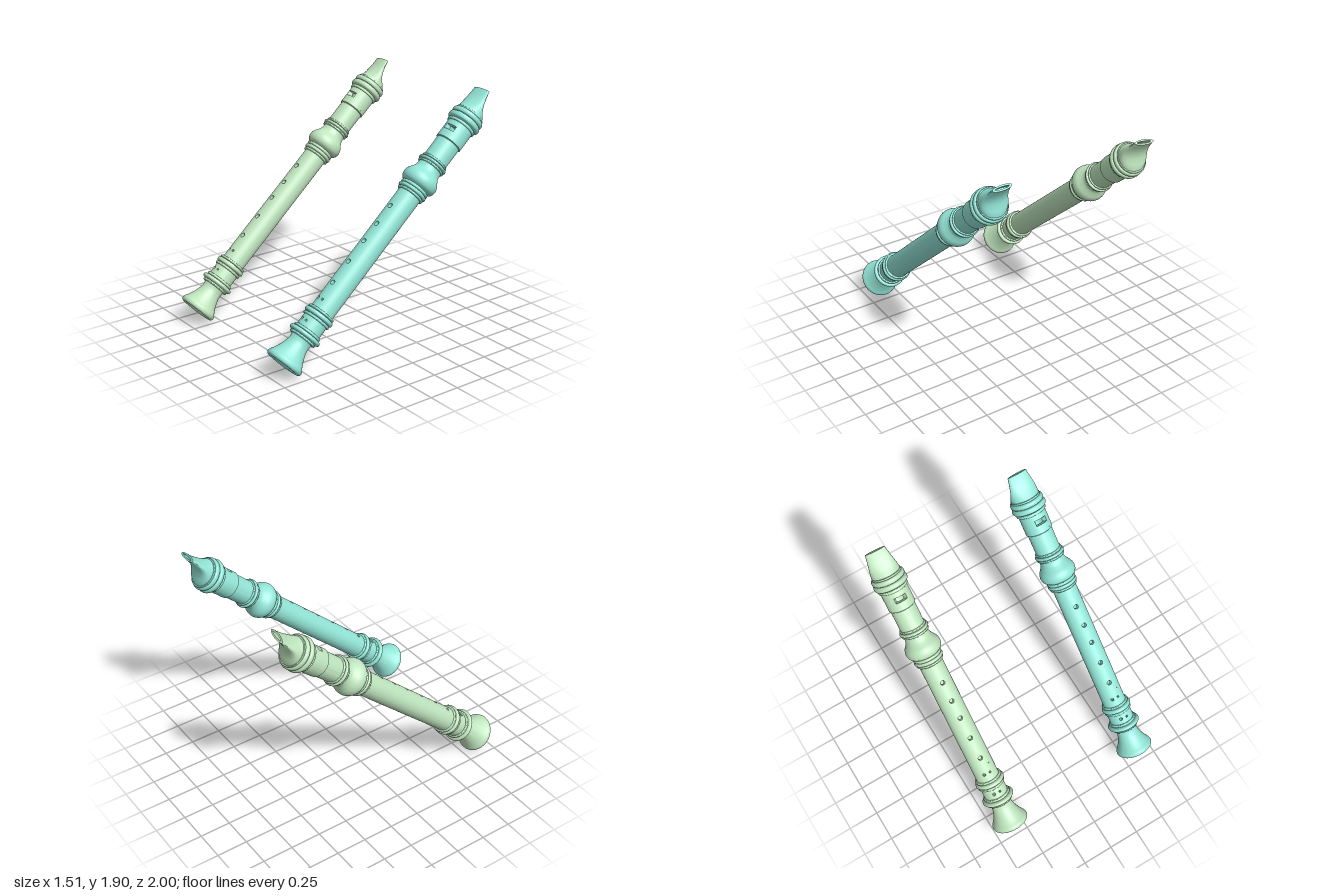
import * as THREE from 'three';
import { toCreasedNormals } from 'three/addons/utils/BufferGeometryUtils.js';

const BORE = 0.066;   // inner radius
const STRIP = 0.55;   // half angle of the front strip that carries the holes

// surface from a rule f(i, j) -> [x, y, z]
function grid(nu, nv, f) {
  const pos = [], idx = [];
  for (let j = 0; j <= nv; j++) for (let i = 0; i <= nu; i++) pos.push(...f(i, j));
  for (let j = 0; j < nv; j++) for (let i = 0; i < nu; i++) {
    const a = j * (nu + 1) + i, b = a + 1, d = a + nu + 1, c = d + 1;
    idx.push(a, b, c, a, c, d);
  }
  const g = new THREE.BufferGeometry();
  g.setAttribute('position', new THREE.Float32BufferAttribute(pos, 3));
  g.setIndex(idx);
  return g;
}

// profile helpers, all as [radius, height]
const bead = (y, r, h, base) => Array.from({ length: 9 }, (_, k) => {
  const a = Math.PI * k / 8;
  return [base + (r - base) * Math.pow(Math.max(0, Math.sin(a)), 0.6), y - h * Math.cos(a)];
});
const smooth = (pts, n) => new THREE.SplineCurve(pts.map(p => new THREE.Vector2(...p)))
  .getPoints(n).map(p => [p.x, p.y]);

function createRecorder(color, headRoll) {
  const mat = new THREE.MeshStandardMaterial({ color });
  const recorder = new THREE.Group();

  const add = (parent, name, geo, crease = 0.7) => {
    const m = new THREE.Mesh(toCreasedNormals(geo, crease), mat);
    m.name = name;
    parent.add(m);
  };
  const turned = (parent, name, pts, start = 0, length = Math.PI * 2) =>
    add(parent, name, new THREE.LatheGeometry(pts.map(p => new THREE.Vector2(...p)), 64, start, length));

  // curved patch of tube with one hole whose wall runs down to the bore
  const holedPatch = (parent, name, R, p0, p1, y0, y1, hole) => {
    const n = 40, rings = 5;
    add(parent, name, grid(n, rings + 1, (i, j) => {
      const t = (i % n) / n * Math.PI * 2, c = Math.cos(t), s = Math.sin(t);
      const m = Math.max(Math.abs(c), Math.abs(s)), q = hole.square ? m : 1;
      const k = Math.min(j / rings, 1);
      const outP = (p0 + p1) / 2 + c / m * (p1 - p0) / 2;
      const outY = (y0 + y1) / 2 + s / m * (y1 - y0) / 2;
      const p = outP + (hole.x / R + c / q * hole.w / R - outP) * k;
      const y = outY + (hole.y + s / q * hole.h - outY) * k;
      const r = j > rings ? BORE : R;
      return [r * Math.sin(p), y, r * Math.cos(p)];
    }));
  };

  // plain tube behind the front strip, strip filled with holed patches
  const holedTube = (parent, name, R, y0, y1, rows) => {
    turned(parent, name, [[R, y0], [R, y1]], STRIP, Math.PI * 2 - 2 * STRIP);
    rows.forEach((row, i) => {
      const a = i ? (rows[i - 1][0].y + row[0].y) / 2 : y0;
      const b = i < rows.length - 1 ? (row[0].y + rows[i + 1][0].y) / 2 : y1;
      row.forEach((hole, k) => {
        const w = 2 * STRIP / row.length;
        holedPatch(parent, name + 'Hole', R, -STRIP + k * w, -STRIP + (k + 1) * w, a, b, hole);
      });
    });
  };
  const round = (x, y, r) => ({ x, y, w: r, h: r });
  const pair = y => [round(-0.033, y, 0.013), round(0.021, y, 0.009)];

  // bore
  turned(recorder, 'bore', [[0, 2.22], [BORE, 2.22], [BORE, 0]]);

  // foot joint
  const foot = new THREE.Group();
  foot.name = 'footJoint';
  turned(foot, 'bell', [
    [BORE, 0], [0.078, -0.012],
    ...smooth([[0.1, -0.02], [0.135, -0.021], [0.151, -0.004], [0.148, 0.016], [0.13, 0.045],
      [0.108, 0.09], [0.091, 0.14], [0.085, 0.18], [0.09, 0.215]], 40),
    ...bead(0.222, 0.112, 0.01, 0.092), ...bead(0.25, 0.133, 0.018, 0.1),
    ...bead(0.28, 0.114, 0.011, 0.1), [0.1, 0.3]]);
  holedTube(foot, 'footTube', 0.1, 0.3, 0.375, [pair(0.336)]);
  turned(foot, 'footCollar', [[0.1, 0.375], ...bead(0.39, 0.114, 0.011, 0.1),
    ...bead(0.422, 0.122, 0.018, 0.102), ...bead(0.453, 0.112, 0.01, 0.097), [0.095, 0.47]]);
  recorder.add(foot);

  // middle joint
  const middle = new THREE.Group();
  middle.name = 'middleJoint';
  holedTube(middle, 'bodyTube', 0.095, 0.47, 1.57, [pair(0.531),
    ...[0.681, 0.878, 1.072, 1.235, 1.407].map(y => [round(0, y, 0.019)])]);
  recorder.add(middle);

  // head joint
  const head = new THREE.Group();
  head.name = 'headJoint';
  head.rotation.y = headRoll;
  turned(head, 'socketBulge', [[0.095, 1.57], ...bead(1.583, 0.112, 0.01, 0.096),
    ...bead(1.609, 0.12, 0.014, 0.104), ...bead(1.637, 0.118, 0.012, 0.106),
    ...smooth([[0.113, 1.652], [0.136, 1.672], [0.145, 1.705], [0.138, 1.74],
      [0.118, 1.772], [0.103, 1.8], [0.098, 1.835]], 32),
    ...bead(1.85, 0.112, 0.009, 0.1), ...bead(1.873, 0.119, 0.012, 0.1),
    ...bead(1.897, 0.109, 0.009, 0.098), [0.098, 1.915], [0.099, 2.078], [0.108, 2.084], [0.108, 2.1]]);
  holedTube(head, 'windowTube', 0.108, 2.1, 2.235,
    [[{ x: 0, y: 2.172, w: 0.05, h: 0.022, square: true }]]);
  turned(head, 'headCollar', [[0.108, 2.235], ...bead(2.25, 0.12, 0.012, 0.108),
    ...bead(2.29, 0.137, 0.022, 0.116), ...bead(2.336, 0.133, 0.02, 0.118),
    ...bead(2.364, 0.12, 0.008, 0.113), [0.1, 2.374]]);

  // beak: height, half width, front depth, back depth; last rows form the air slot
  const rows = [
    [2.365, 0.114, 0.112, -0.112], [2.385, 0.114, 0.104, -0.098], [2.405, 0.112, 0.095, -0.066],
    [2.43, 0.108, 0.086, -0.028], [2.46, 0.102, 0.079, -0.002], [2.495, 0.095, 0.073, 0.014],
    [2.535, 0.087, 0.071, 0.025], [2.578, 0.08, 0.074, 0.032],
    [2.578, 0.058, 0.061, 0.045], [2.53, 0.058, 0.061, 0.045], [2.53, 0, 0.053, 0.053]];
  const beak = new THREE.Group();
  beak.name = 'beak';
  beak.rotation.y = -0.13;
  add(beak, 'beakShell', grid(56, rows.length - 1, (i, j) => {
    const [y, w, f, b] = rows[j], a = (i % 56) / 56 * Math.PI * 2;
    return [w * Math.sin(a), y, (f + b) / 2 + (f - b) / 2 * Math.cos(a)];
  }), 0.9);
  head.add(beak);
  recorder.add(head);

  return recorder;
}

export function createModel() {
  const model = new THREE.Group();
  model.name = 'recorderPair';
  const specs = [['greenRecorder', 0xc0e6bf, -0.605, 0], ['tealRecorder', 0x94e6d8, 0.605, 0.15]];
  for (const [name, color, x, roll] of specs) {
    const r = createRecorder(color, roll);
    r.name = name;
    r.position.set(x, 0.115, 0.9);
    r.rotation.x = -48 * Math.PI / 180; // leaning back
    model.add(r);
  }
  return model;
}
